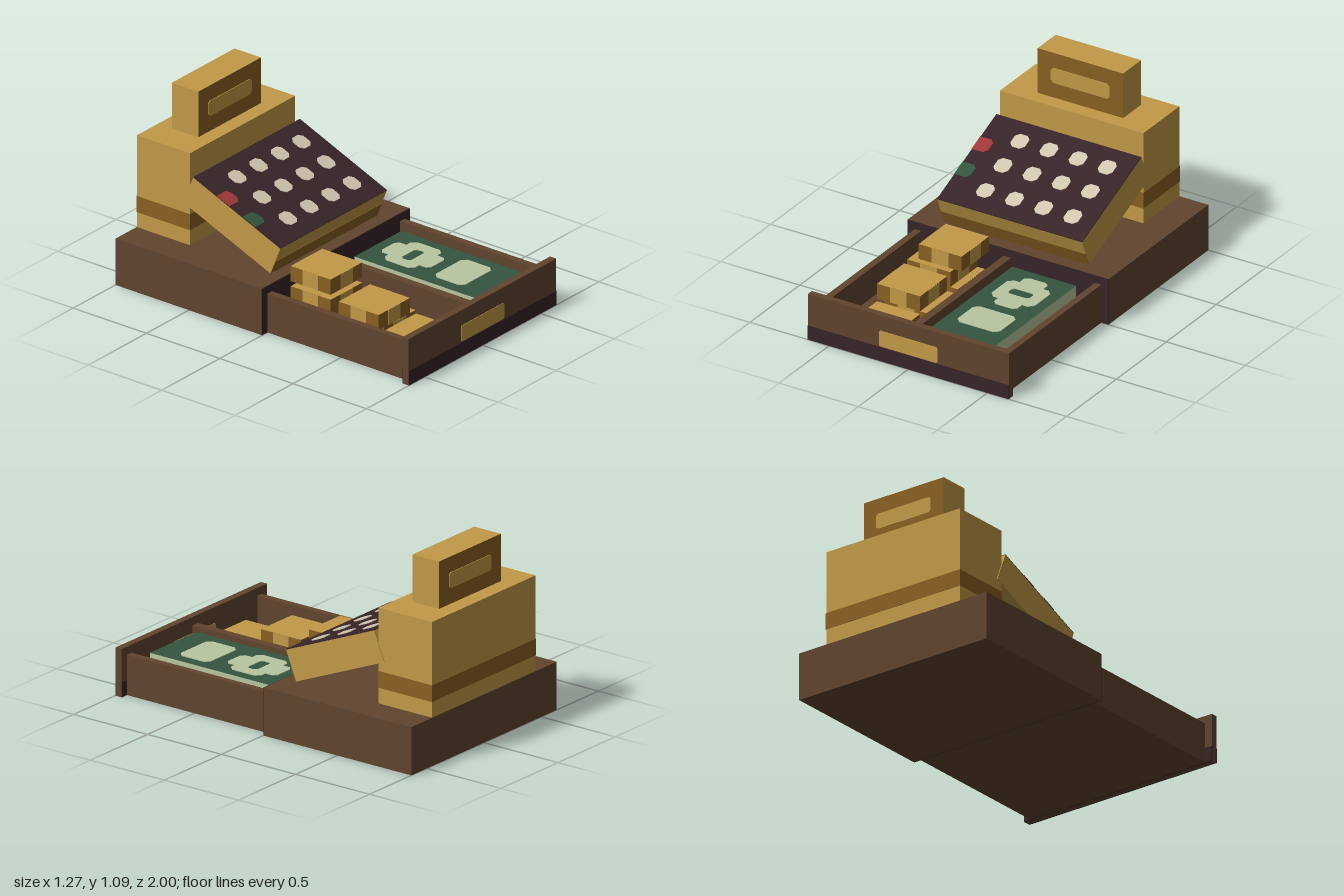
import * as THREE from 'three';

const mat = (name, color) => {
  const m = new THREE.MeshStandardMaterial({ color });
  m.name = name;
  return m;
};

export function createModel() {
  const gold = mat('gold', 0xc29a48), amber = mat('amber', 0x8a6022), wood = mat('wood', 0x61442f);
  const dark = mat('darkTrim', 0x372428), cream = mat('cream', 0xd0c7b0), red = mat('red', 0x9e3837);
  const green = mat('green', 0x34553f), pale = mat('paleGreen', 0xb8c6a0);
  const model = new THREE.Group();
  model.name = 'cashRegister';
  const T = 0.004; // thickness of painted plates

  const group = (name, parent = model) => {
    const g = new THREE.Group();
    g.name = name;
    parent.add(g);
    return g;
  };
  // Box given by its minimum and maximum on each axis
  const box = (name, m, [x0, x1], [y0, y1], [z0, z1], parent = model) => {
    const mesh = new THREE.Mesh(new THREE.BoxGeometry(x1 - x0, y1 - y0, z1 - z0), m);
    mesh.position.set((x0 + x1) / 2, (y0 + y1) / 2, (z0 + z1) / 2);
    mesh.name = name;
    parent.add(mesh);
    return mesh;
  };
  // Rectangle with cut corners, centred on the origin
  const cutRect = (w, h, c) => {
    const a = w / 2, b = h / 2;
    return new THREE.Shape([[-a + c, -b], [a - c, -b], [a, -b + c], [a, b - c], [a - c, b], [-a + c, b], [-a, b - c], [-a, -b + c]]
      .map(p => new THREE.Vector2(...p)));
  };
  // Thin painted plate facing +z, or rotated about x to face up
  const plate = (name, m, shape, pos, parent = model, up = false, back = false) => {
    const mesh = new THREE.Mesh(new THREE.ExtrudeGeometry(shape, { depth: T, bevelEnabled: false }), m);
    mesh.position.set(...pos);
    if (up) mesh.rotation.x = -Math.PI / 2;
    if (back) mesh.rotation.y = Math.PI;
    mesh.name = name;
    parent.add(mesh);
  };

  // Base cabinet with a dark drawer opening
  box('base', wood, [-0.635, 0.635], [0, 0.275], [-1, -T]);
  box('drawerOpening', dark, [-0.635, 0.635], [0, 0.274], [-T, 0]);

  // Upright body with a stripe around it
  box('body', gold, [-0.453, 0.453], [0.275, 0.82], [-0.998, -0.637]);
  box('bodyStripe', amber, [-0.455, 0.455], [0.365, 0.46], [-1, -0.635]);

  // Display sign, amber on front and back
  const sign = group('displaySign');
  const signMesh = box('signBox', [gold, gold, gold, gold, amber, amber], [-0.27, 0.27], [0.82, 1.09], [-0.905, -0.725], sign);
  signMesh.name = 'signBox';
  for (const back of [false, true])
    plate('signWindow', gold, cutRect(0.37, 0.09, 0.014), [0, 0.955, back ? -0.905 : -0.725], sign, false, back);

  // Sloping keypad, built flat and tilted about its upper front edge
  const keypad = group('keypad');
  keypad.position.set(0, 0.445, -0.015);
  keypad.rotation.x = 0.391;
  box('keypadBox', gold, [-0.458, 0.458], [-0.184, -T], [-0.643, 0], keypad);
  box('keypadTop', dark, [-0.458, 0.458], [-T, 0], [-0.643, 0], keypad);
  box('keypadFrontStripe', amber, [-0.458, 0.458], [-0.184, -0.097], [0, 0.003], keypad);
  for (const z of [-0.14, -0.33, -0.513])
    for (let i = 0; i < 4; i++)
      plate('key', cream, cutRect(0.092, 0.094, 0.022), [-0.233 + i * 0.184, 0, z], keypad, true);
  const sideKey = new THREE.Shape([[-0.458, -0.047], [-0.385, -0.047], [-0.365, -0.025], [-0.365, 0.025], [-0.385, 0.047], [-0.458, 0.047]]
    .map(p => new THREE.Vector2(...p)));
  plate('redKey', red, sideKey, [0, 0, -0.423], keypad, true);
  plate('greenKey', green, sideKey, [0, 0, -0.233], keypad, true);

  // Open drawer
  const drawer = group('drawer');
  box('drawerFloor', wood, [-0.585, 0.585], [0, 0.05], [0, 0.955], drawer);
  box('drawerWall', wood, [-0.59, -0.55], [0, 0.23], [0, 0.955], drawer);
  box('drawerWall', wood, [0.55, 0.59], [0, 0.23], [0, 0.955], drawer);
  box('drawerDivider', wood, [-0.027, 0.02], [0.05, 0.23], [0, 0.955], drawer);
  box('drawerFront', wood, [-0.635, 0.635], [0, 0.275], [0.957, 0.998], drawer);
  for (const [back, z] of [[false, 0.997], [true, 0.958]]) {
    box('drawerFrontTrim', dark, [-0.635, 0.635], [0, 0.085], [z - 0.003, z + 0.003], drawer);
    plate('drawerHandle', gold, cutRect(0.37, 0.095, 0.008), [0, 0.137, z], drawer, false, back);
  }

  // Stacked square coins: minimum x, layer, minimum z
  const coins = group('coins');
  const S = 0.272, H = 0.09;
  for (const [x, layer, z] of [[-0.392, 0, 0.04], [-0.44, 1, 0.04], [-0.392, 2, 0.002],
    [-0.382, 0, 0.358], [-0.43, 1, 0.358], [-0.413, 0, 0.657]]) {
    const y = 0.05 + layer * H, coin = group('coin', coins), e = 0.002;
    box('coinBody', [amber, amber, gold, gold, amber, amber], [x, x + S], [y, y + H], [z, z + S], coin);
    box('coinBand', gold, [x - e, x + S + e], [y + 0.001, y + H - 0.001], [z + 0.083, z + 0.189], coin);
    box('coinBand', gold, [x + 0.083, x + 0.189], [y + 0.001, y + H - 0.001], [z - e, z + S + e], coin);
  }

  // Bundle of notes with a printed top
  const notes = group('notes');
  box('noteStack', [pale, pale, green, pale, pale, pale], [0.07, 0.475], [0.05, 0.222], [0.07, 0.89], notes);
  plate('noteLabel', pale, cutRect(0.27, 0.205, 0.027), [0.275, 0.222, 0.65], notes, true);
  // One quadrant of the emblem outline, mirrored around
  const quarter = [[0.137, 0.075], [0.11, 0.105], [0.075, 0.105], [0.075, 0.15], [0.052, 0.17]];
  const flip = (sx, sy) => quarter.map(([x, y]) => new THREE.Vector2(x * sx, y * sy));
  const emblem = new THREE.Shape([...flip(1, 1), ...flip(-1, 1).reverse(), ...flip(-1, -1), ...flip(1, -1).reverse()]);
  emblem.holes.push(new THREE.Path(cutRect(0.135, 0.064, 0.014).getPoints().reverse()));
  plate('noteEmblem', pale, emblem, [0.275, 0.222, 0.307], notes, true);

  return model;
}
